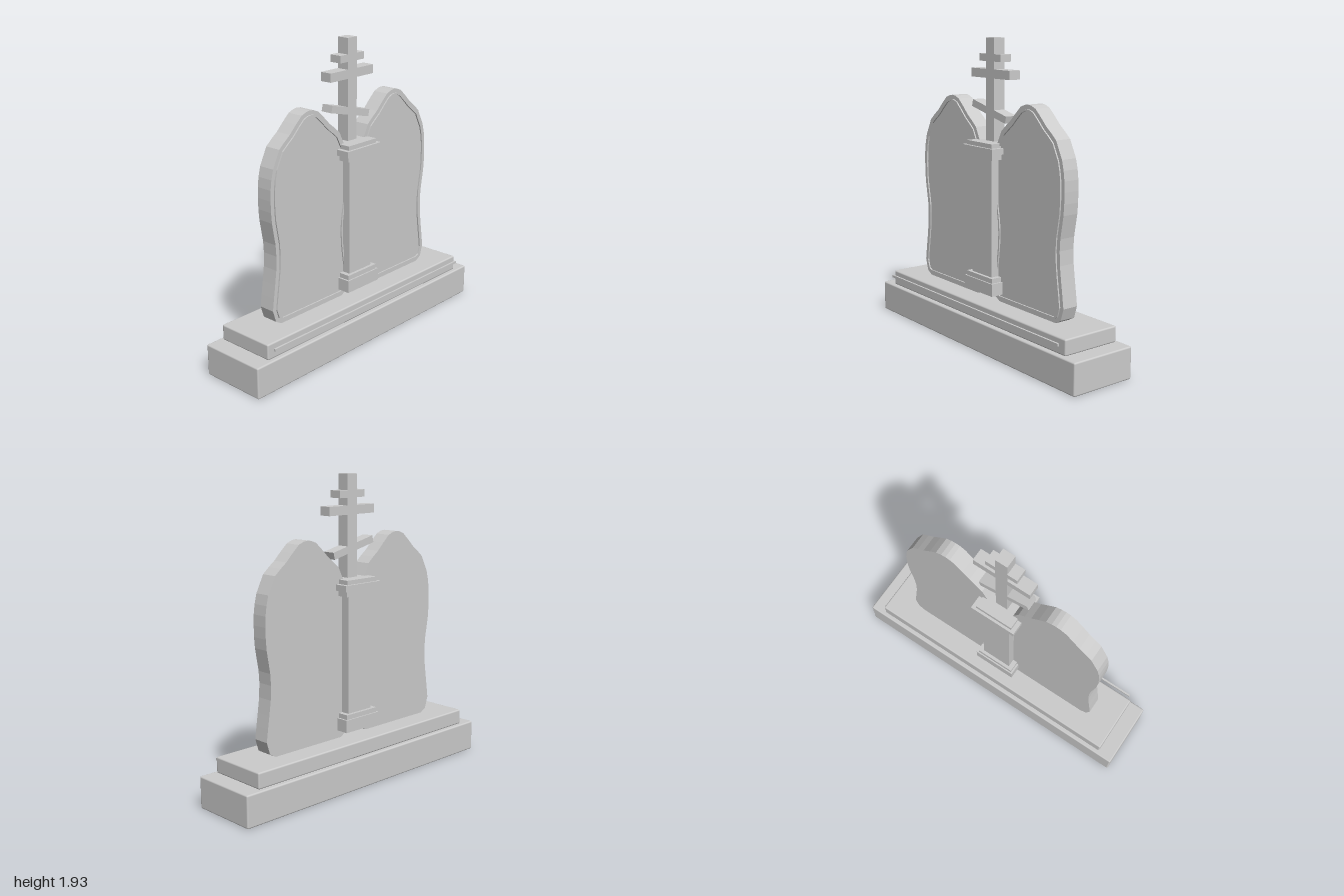
import * as THREE from 'three';
import { RoundedBoxGeometry } from 'three/addons/geometries/RoundedBoxGeometry.js';

const ZC = -0.006; // shared depth centre
const material = new THREE.MeshStandardMaterial({ color: 0xcccccc });

// Half outline of a stone tablet: [offset from its axis, height], bottom to peak
const HALF = [
  [0.267, 0.3], [0.31, 0.325], [0.333, 0.4], [0.322, 0.48], [0.31, 0.56], [0.298, 0.65],
  [0.294, 0.738], [0.298, 0.81], [0.31, 0.88], [0.322, 0.95], [0.327, 1.016], [0.328, 1.085],
  [0.326, 1.15], [0.318, 1.21], [0.303, 1.27], [0.251, 1.375], [0.208, 1.412], [0.165, 1.445],
  [0.115, 1.495], [0.068, 1.538], [0.03, 1.553], [0, 1.557],
];

function mesh(name, geometry, x = 0, y = 0, z = 0) {
  const m = new THREE.Mesh(geometry, material);
  m.name = name;
  m.position.set(x, y, z);
  return m;
}

// Box given by width, bottom, top and depth
function block(name, w, y0, y1, d, z = ZC) {
  return mesh(name, new THREE.BoxGeometry(w, y1 - y0, d), 0, (y0 + y1) / 2, z);
}

function roundedBlock(name, w, y0, y1, d, z = ZC) {
  return mesh(name, new RoundedBoxGeometry(w, y1 - y0, d, 2, 0.01), 0, (y0 + y1) / 2, z);
}

// Full closed tablet outline, moved inwards by a constant distance
function outline(inset) {
  const right = HALF.map(([x, y]) => new THREE.Vector2(x, y));
  const left = right.slice(0, -1).reverse().map((p) => new THREE.Vector2(-p.x, p.y));
  const pts = [...right, ...left];
  const n = pts.length;
  return pts.map((p, i) => {
    const a = p.clone().sub(pts[(i + n - 1) % n]).normalize();
    const b = pts[(i + 1) % n].clone().sub(p).normalize();
    const normal = new THREE.Vector2(-a.y - b.y, a.x + b.x).normalize();
    const miter = inset / Math.max(0.6, normal.dot(new THREE.Vector2(-a.y, a.x)));
    return p.clone().addScaledVector(normal, miter);
  });
}

function extrude(shape, depth) {
  return new THREE.ExtrudeGeometry(shape, { depth, bevelEnabled: false });
}

function tablet(name, x) {
  const g = new THREE.Group();
  g.name = name;
  g.position.x = x;
  g.add(mesh('slab', extrude(new THREE.Shape(outline(0)), 0.106), 0, 0, ZC - 0.053));
  // Thin raised border line on the front face
  const border = new THREE.Shape(outline(0.026));
  border.holes.push(new THREE.Path(outline(0.037)));
  g.add(mesh('borderLine', extrude(border, 0.013), 0, 0, 0.043));
  return g;
}

function column() {
  const g = new THREE.Group();
  g.name = 'column';
  g.add(
    block('plinth', 0.284, 0.35, 0.43, 0.272),
    block('plinthMoulding', 0.26, 0.43, 0.46, 0.254),
    block('shaft', 0.2, 0.46, 1.2, 0.214),
    block('lowerCapital', 0.262, 1.2, 1.235, 0.252),
    block('middleCapital', 0.304, 1.235, 1.273, 0.282),
    block('upperCapital', 0.25, 1.273, 1.3, 0.25),
  );
  return g;
}

function cross() {
  const g = new THREE.Group();
  g.name = 'cross';
  const footBar = block('slantedBar', 0.343, 1.46, 1.505, 0.08);
  footBar.position.x = -0.014;
  footBar.rotation.z = -0.236;
  g.add(
    block('post', 0.08, 1.3, 1.93, 0.08),
    block('topBar', 0.21, 1.787, 1.832, 0.08),
    block('mainBar', 0.38, 1.685, 1.74, 0.08),
    footBar,
  );
  return g;
}

export function createModel() {
  const model = new THREE.Group();
  model.name = 'monument';
  model.add(
    roundedBlock('base', 2, 0, 0.2, 0.443),
    roundedBlock('step', 1.79, 0.2, 0.3, 0.394),
    block('stepTrim', 1.74, 0.262, 0.278, 0.012, 0.2215),
    tablet('leftTablet', 0.38),
    tablet('rightTablet', -0.38),
    column(),
    cross(),
  );
  return model;
}
